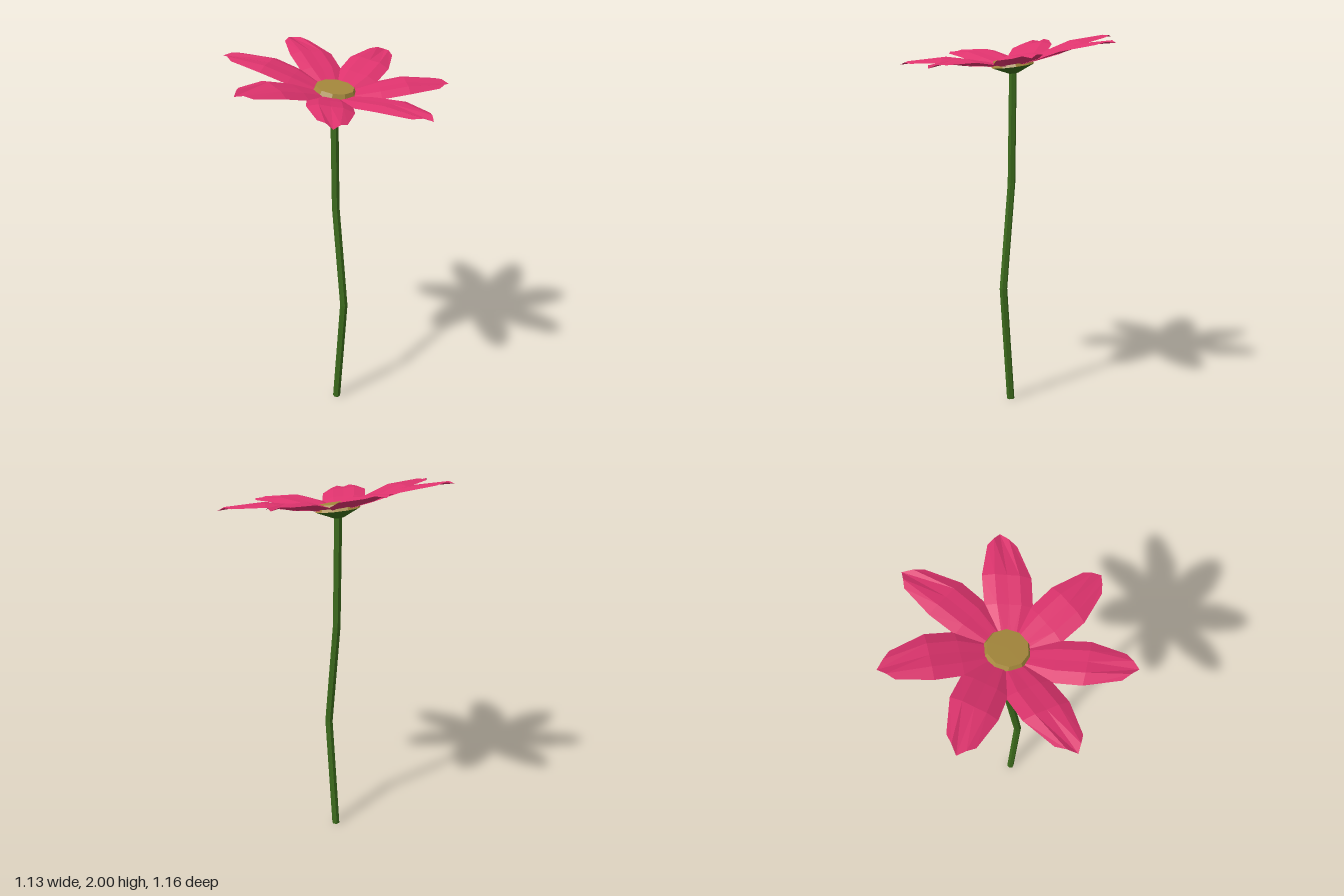
import * as THREE from 'three';

const material = (color, side = THREE.FrontSide) =>
  new THREE.MeshStandardMaterial({ color, side, flatShading: true });

function part(name, geometry, mat) {
  const mesh = new THREE.Mesh(geometry, mat);
  mesh.name = name;
  return mesh;
}

// Bent stem: a straight tube whose rings are shifted onto the bend points
function stemGeometry() {
  const bends = [[-0.045, 1.8], [-0.035, 1.2], [0.025, 0.63], [-0.03, 0]];
  const geo = new THREE.CylinderGeometry(0.021, 0.021, 3, 6, 3);
  const pos = geo.attributes.position;
  for (let i = 0; i < pos.count; i++) {
    const [x, y] = bends[Math.round(1.5 - pos.getY(i))];
    pos.setXYZ(i, pos.getX(i) + x, y, pos.getZ(i));
  }
  return geo;
}

// Arched petal: rows along its length hold [distance, height, one edge, other edge]
function petalGeometry() {
  const rows = [
    [0.06, 0.0, 0.04, -0.04],
    [0.22, 0.03, 0.105, -0.12],
    [0.36, 0.062, 0.12, -0.112],
    [0.527, 0.075, 0.095, -0.045],
    ];
  const arch = [0, 0.018, 0.016, 0.018, 0];
  const geo = new THREE.PlaneGeometry(1, 1, rows.length - 1, 4);
  const pos = geo.attributes.position;
  for (let i = 0; i < pos.count; i++) {
    const col = Math.floor(i / rows.length), row = i % rows.length;
    const [u, h, a, b] = rows[row];
    const atTip = row === rows.length - 1;
    // the last row is drawn out to a blunt, drooping point
    const point = atTip ? 1 - Math.abs(col - 2) / 2 : 0;
    const v = THREE.MathUtils.lerp(a, b, col / 4) + point * 0.01;
    const y = h + (row ? arch[col] : 0) - point * 0.02;
    pos.setXYZ(i, u + point * 0.068, y, -v);
  }
  return geo;
}

export function createModel() {
  const model = new THREE.Group();
  model.name = 'flower';
  const green = material(0x3c6b1c);
  const yellow = material(0xa5883c);
  const pink = material(0xdd336d, THREE.DoubleSide);

  model.add(part('stem', stemGeometry(), green));

  // Tilted flower head
  const head = new THREE.Group();
  head.name = 'flowerHead';
  head.position.set(-0.043, 1.825, 0);
  head.rotation.z = -0.17;
  model.add(head);

  // Green cup under the petals
  const cup = part('cup', new THREE.CylinderGeometry(0.115, 0.025, 0.04, 10), green);
  cup.position.y = -0.022;
  head.add(cup);

  // Bevelled centre disc
  const disc = part('centreDisc', new THREE.CylinderGeometry(0.098, 0.115, 0.034, 10), yellow);
  disc.position.y = 0.015;
  head.add(disc);

  // Ring of seven petals
  const petal = petalGeometry();
  for (let i = 0; i < 7; i++) {
    const mesh = part('petal', petal, pink);
    mesh.rotation.y = (i / 7) * Math.PI * 2;
    head.add(mesh);
  }
  return model;
}
